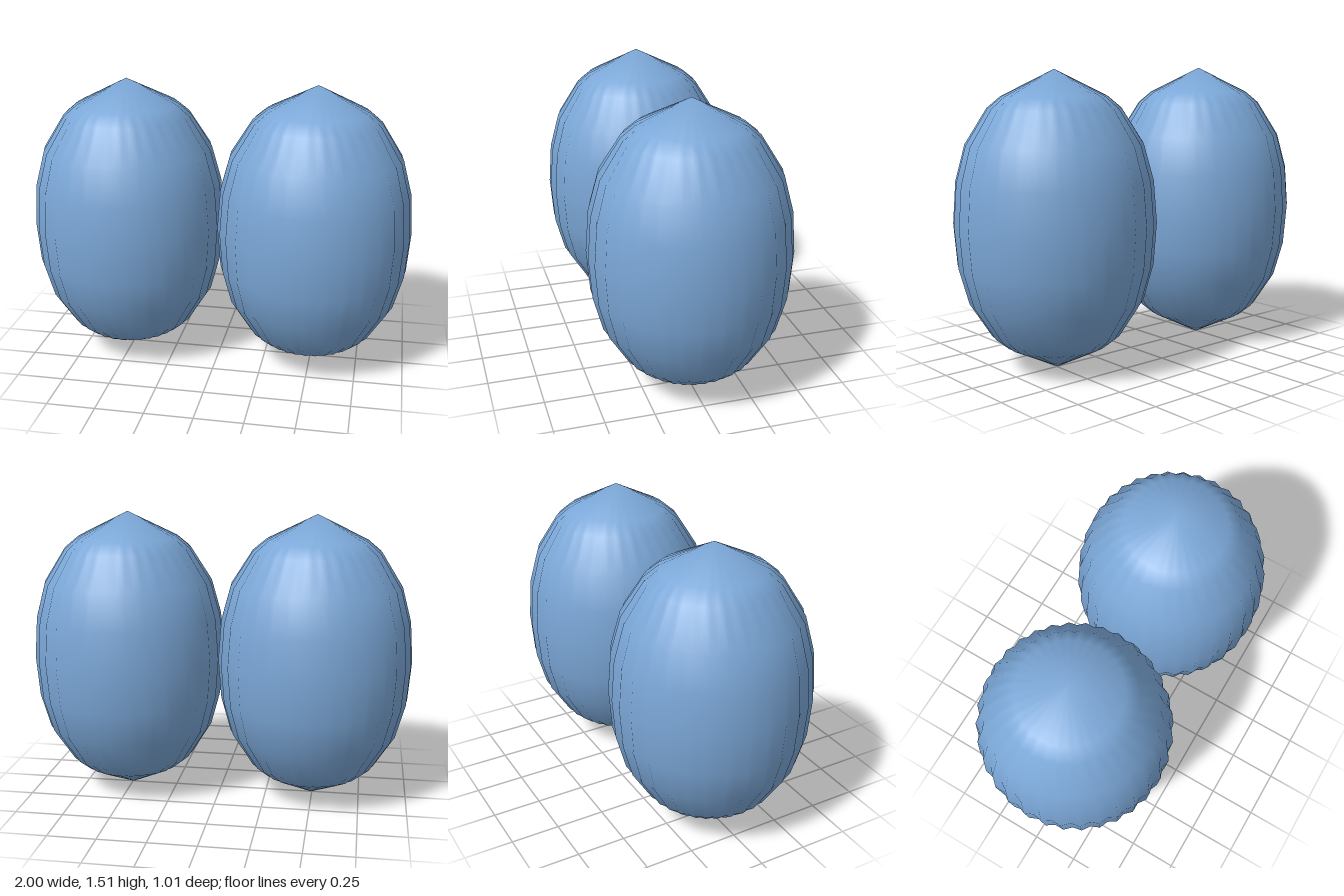
import * as THREE from 'three';
import { mergeVertices } from 'three/addons/utils/BufferGeometryUtils.js';

const RIBS = 32;
const CENTER_Y = 0.753;

// Upper half of the rib profile: radius, height above the middle
const HALF = [
  [0.505, 0], [0.489, 0.21], [0.44, 0.39], [0.33, 0.565], [0.262, 0.622], [0, 0.753],
];

// Ribbed pod: a lathe whose every second meridian is pulled in to form a groove
function ribbedPod() {
  const lower = HALF.slice(1).reverse().map(([r, y]) => new THREE.Vector2(r, -y));
  const upper = HALF.map(([r, y]) => new THREE.Vector2(r, y));
  const lathe = new THREE.LatheGeometry([...lower, ...upper], RIBS * 2);
  const pos = lathe.attributes.position;
  for (let i = 0; i < pos.count; i++) {
    const x = pos.getX(i), z = pos.getZ(i);
    const angle = Math.atan2(x, z);
    const k = 1 - 0.0175 * (1 - Math.cos(angle * RIBS));
    pos.setX(i, x * k);
    pos.setZ(i, z * k);
  }
  // Weld the seam and poles so the shading runs smoothly round the pod
  lathe.deleteAttribute('normal');
  lathe.deleteAttribute('uv');
  const geometry = mergeVertices(lathe, 1e-5);
  geometry.computeVertexNormals();
  return geometry;
}

export function createModel() {
  const group = new THREE.Group();
  group.name = 'ribbedPods';
  const material = new THREE.MeshStandardMaterial({ color: 0x7ba7d7 });
  const geometry = ribbedPod();

  // Two matching pods side by side, just touching
  for (const [name, side] of [['leftPod', 1], ['rightPod', -1]]) {
    const pod = new THREE.Mesh(geometry, material);
    pod.name = name;
    pod.position.set(side * 0.495, CENTER_Y, 0);
    group.add(pod);
  }
  return group;
}
